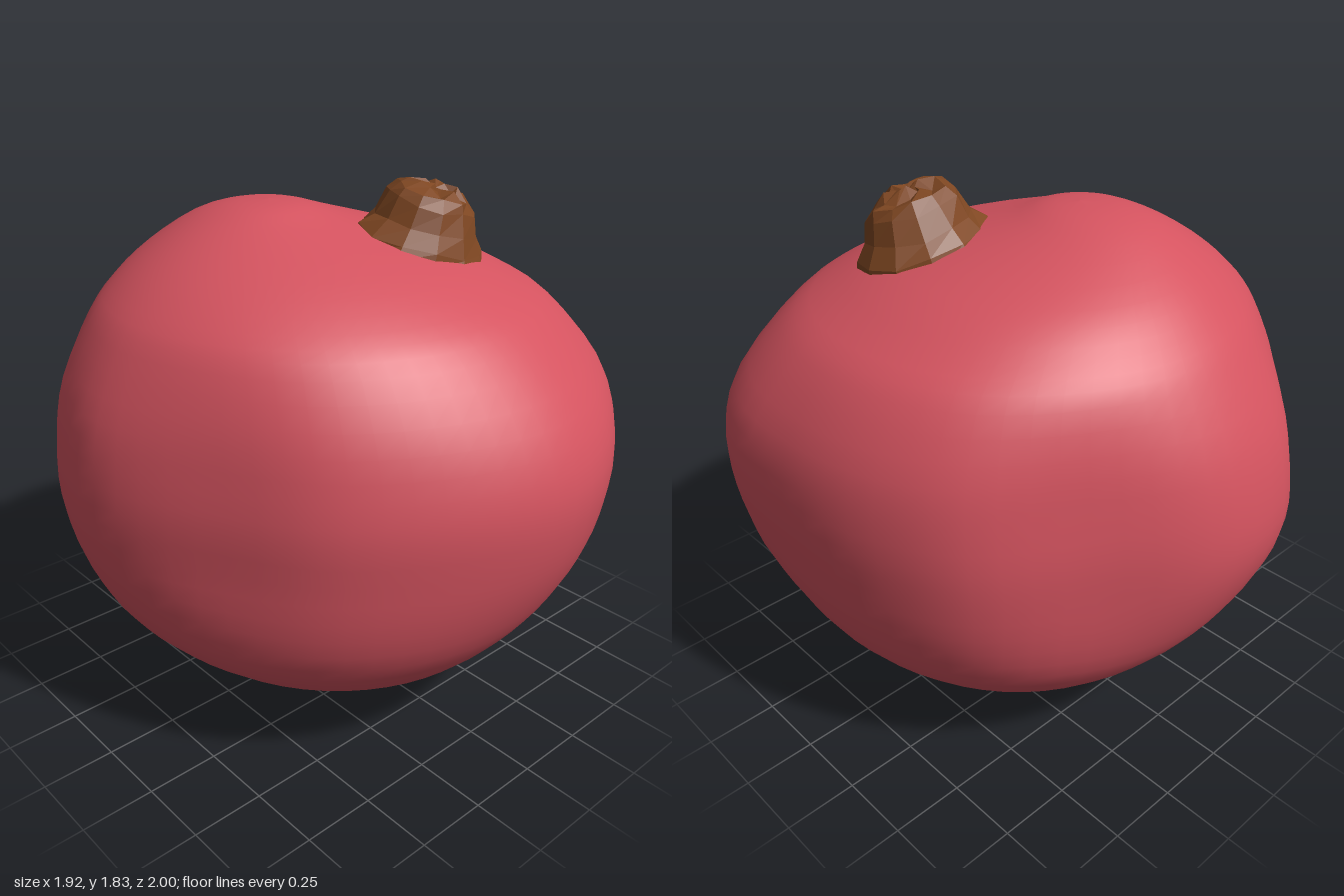
import * as THREE from 'three';

// Small seeded random in -1..1
function seeded(seed) {
  let s = seed;
  return () => {
    s = (s * 16807) % 2147483647;
    return (s / 2147483647) * 2 - 1;
  };
}

// Skin a stack of closed rings, each an array of Vector3 with equal length
function loft(rings) {
  const n = rings[0].length;
  const pos = rings.flat().flatMap((p) => [p.x, p.y, p.z]);
  const index = [];
  for (let i = 0; i < rings.length - 1; i++) {
    for (let j = 0; j < n; j++) {
      const a = i * n + j, b = i * n + ((j + 1) % n);
      index.push(a, a + n, b, b, a + n, b + n);
    }
  }
  const g = new THREE.BufferGeometry();
  g.setAttribute('position', new THREE.Float32BufferAttribute(pos, 3));
  g.setIndex(index);
  g.computeVertexNormals();
  return g;
}

// Lumpy fruit: an irregular outline at the waist that rounds off above and below
function bodyGeometry() {
  const outline = [
    [-0.09, -1], [0.13, -0.96], [0.4, -0.8], [0.74, -0.57], [0.875, -0.34], [0.935, -0.13],
    [0.955, 0.08], [0.945, 0.34], [0.82, 0.6], [0.61, 0.79], [0.35, 0.94], [0.11, 0.99],
    [-0.13, 0.95], [-0.39, 0.83], [-0.62, 0.645], [-0.79, 0.37], [-0.92, 0.105],
    [-0.965, -0.08], [-0.935, -0.265], [-0.83, -0.51], [-0.58, -0.75], [-0.34, -0.95],
  ];
  const plan = new THREE.CatmullRomCurve3(
    outline.map(([x, z]) => new THREE.Vector3((x + 0.965) / 1.92, 0, (z + 1) / 1.99)), true,
  ).getSpacedPoints(64).slice(0, 64);
  const centre = new THREE.Vector3(0.5, 0, 0.5);
  const round = plan.map((p) => p.clone().sub(centre).setLength(0.5).add(centre));

  // y, min x, max x, min z, max z
  const levels = [
    [0.07, 0, 0, -0.05, -0.05],
    [0.055, -0.16, 0.16, -0.21, 0.11],
    [0.04, -0.19, 0.21, -0.24, 0.17],
    [0.06, -0.26, 0.29, -0.32, 0.26],
    [0.1, -0.36, 0.41, -0.44, 0.39],
    [0.2, -0.57, 0.62, -0.62, 0.61],
    [0.4, -0.8, 0.81, -0.82, 0.81],
    [0.6, -0.91, 0.905, -0.935, 0.925],
    [0.8, -0.955, 0.945, -0.995, 0.985],
    [1.0, -0.955, 0.96, -0.985, 0.995],
    [1.2, -0.915, 0.925, -0.93, 0.92],
    [1.4, -0.81, 0.8, -0.82, 0.76],
    [1.5, -0.72, 0.66, -0.735, 0.63],
    [1.6, -0.58, 0.46, -0.62, 0.42],
    [1.7, -0.39, 0.13, -0.44, 0.1],
    [1.745, -0.27, -0.02, -0.29, -0.03],
    [1.757, -0.14, -0.14, -0.15, -0.15],
  ];
  const spline = (pick) => new THREE.CatmullRomCurve3(levels.map(pick), false, 'catmullrom', 0.5);
  const acrossX = spline((l) => new THREE.Vector3(l[1], l[0], l[2]));
  const acrossZ = spline((l) => new THREE.Vector3(l[3], l[0], l[4]));
  const rings = [];
  const steps = 48;
  for (let i = 0; i <= steps; i++) {
    const a = acrossX.getPoint(i / steps), b = acrossZ.getPoint(i / steps);
    const roundness = THREE.MathUtils.smoothstep(Math.abs(a.y - 0.95), 0.1, 0.65);
    rings.push(plan.map((p, j) => {
      const q = p.clone().lerp(round[j], roundness);
      return new THREE.Vector3(
        THREE.MathUtils.lerp(a.x, a.z, q.x), a.y, THREE.MathUtils.lerp(b.x, b.z, q.z));
    }));
  }
  return loft(rings);
}

// Rough woody lathe: profile rows are radius, height, jitter
function woodyGeometry(profile, sides, seed) {
  const rnd = seeded(seed);
  const rings = profile.map(([r, y, jitter]) => Array.from({ length: sides }, (_, j) => {
    const t = (j / sides) * Math.PI * 2;
    const rr = r === 0 ? 0 : r + rnd() * jitter;
    const yy = r === 0 ? y : y + rnd() * jitter;
    return new THREE.Vector3(Math.cos(t) * rr, yy, Math.sin(t) * rr);
  }));
  return loft(rings);
}

export function createModel() {
  const skin = new THREE.MeshStandardMaterial({ color: 0xd4535f });
  skin.name = 'pinkSkin';
  const wood = new THREE.MeshStandardMaterial({ color: 0x7f4722, flatShading: true });
  wood.name = 'brownWood';

  const model = new THREE.Group();
  model.name = 'fruit';
  const add = (name, geometry, material) => {
    const mesh = new THREE.Mesh(geometry, material);
    mesh.name = name;
    model.add(mesh);
    return mesh;
  };

  add('fruitBody', bodyGeometry(), skin);

  // Flared stem stub leaning out from the shoulder, with a broken domed top
  const stem = add('stem', woodyGeometry([
    [0.245, -0.04, 0.005], [0.23, 0, 0.008], [0.19, 0.055, 0.008], [0.162, 0.13, 0.01],
    [0.135, 0.165, 0.014], [0.09, 0.175, 0.018], [0.045, 0.18, 0.02], [0, 0.175, 0],
  ], 12, 41), wood);
  stem.position.set(0.24, 1.625, 0.195);
  stem.scale.z = 0.92;
  stem.quaternion.setFromUnitVectors(
    new THREE.Vector3(0, 1, 0), new THREE.Vector3(0.2, 1, 0.18).normalize());

  // Dried blossom remnant sunk in the underside
  const blossom = add('blossomEnd', woodyGeometry([
    [0.185, -0.03, 0.004], [0.168, 0, 0.006], [0.13, 0.01, 0.006], [0.095, -0.005, 0.006],
    [0.07, 0.03, 0.008], [0.035, 0.039, 0.005], [0, 0.03, 0],
  ], 10, 97), wood);
  blossom.position.set(0, 0.045, -0.05);
  blossom.rotation.x = Math.PI;

  return model;
}
